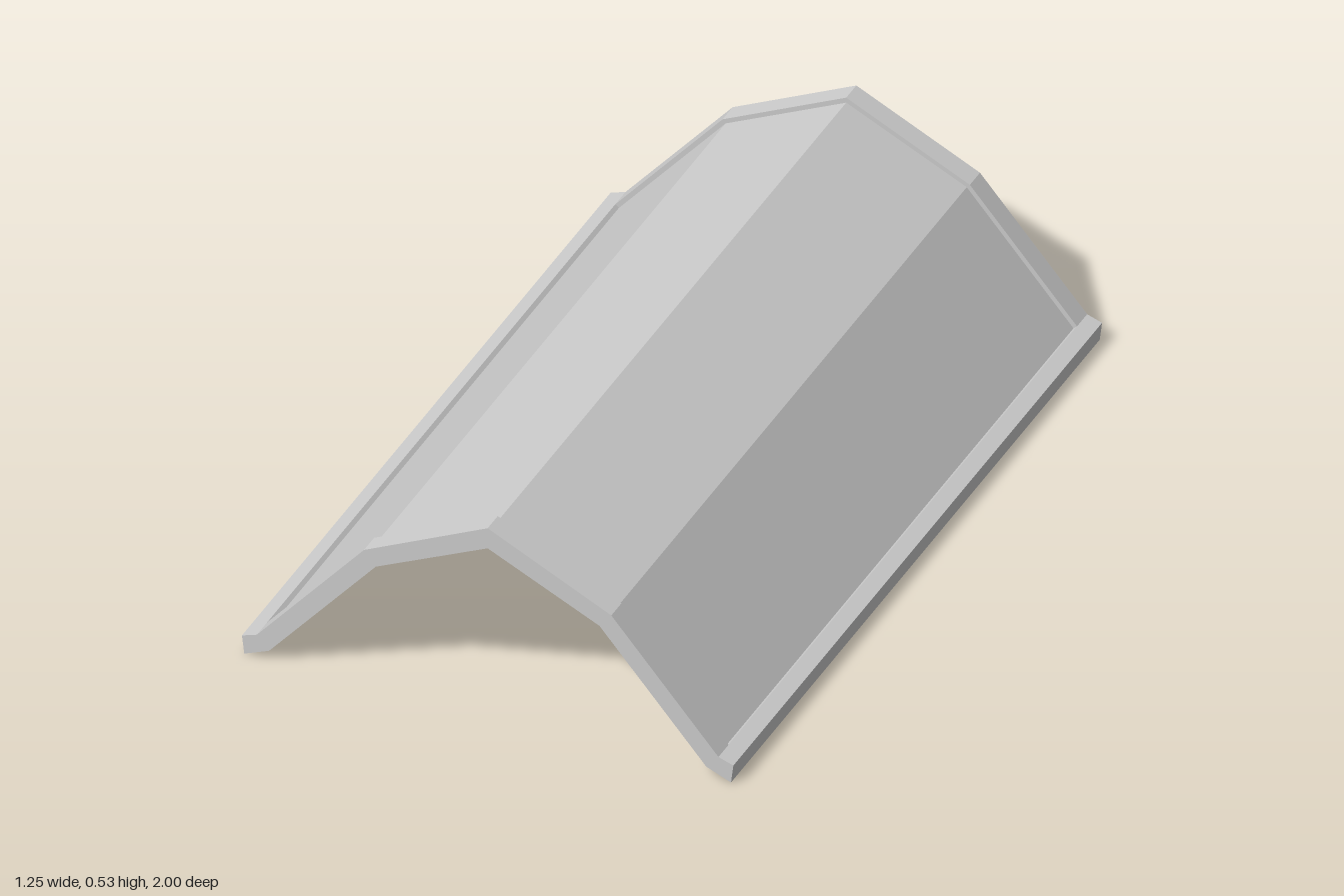
import * as THREE from 'three';

// Right half of each section, listed from the ridge to the eave
const RIM_TOP = [[0, 0.53], [0.315, 0.378], [0.588, 0.062], [0.626, 0.049]];
const PANEL_TOP = [[0, 0.516], [0.307, 0.369], [0.579, 0.054], [0.588, 0.062], [0.626, 0.049]];
const UNDERSIDE = [[0.62, 0], [0.557, 0.026], [0.285, 0.34], [0, 0.474]];

const HALF_LENGTH = 1;
const RIM_WIDTH = 0.055;

// Mirrors a half section across x = 0 and extrudes it from z0 to z1
function section(name, top, z0, z1, material) {
  const half = [...top, ...UNDERSIDE];
  const mirrored = half.slice(1, -1).reverse().map(([x, y]) => [-x, y]);
  const shape = new THREE.Shape([...half, ...mirrored].map(([x, y]) => new THREE.Vector2(x, y)));
  const geometry = new THREE.ExtrudeGeometry(shape, { depth: z1 - z0, bevelEnabled: false });
  geometry.translate(0, 0, z0);
  const mesh = new THREE.Mesh(geometry, material);
  mesh.name = name;
  return mesh;
}

export function createModel() {
  const group = new THREE.Group();
  group.name = 'gambrelRoof';
  const material = new THREE.MeshStandardMaterial({ color: 0xcccccc, flatShading: true });
  const inner = HALF_LENGTH - RIM_WIDTH;

  // Recessed roof panels with the flared eaves
  group.add(section('roofPanels', PANEL_TOP, -inner, inner, material));

  // Raised rims at both gable ends
  group.add(section('frontRim', RIM_TOP, inner, HALF_LENGTH, material));
  group.add(section('backRim', RIM_TOP, -HALF_LENGTH, -inner, material));

  return group;
}
